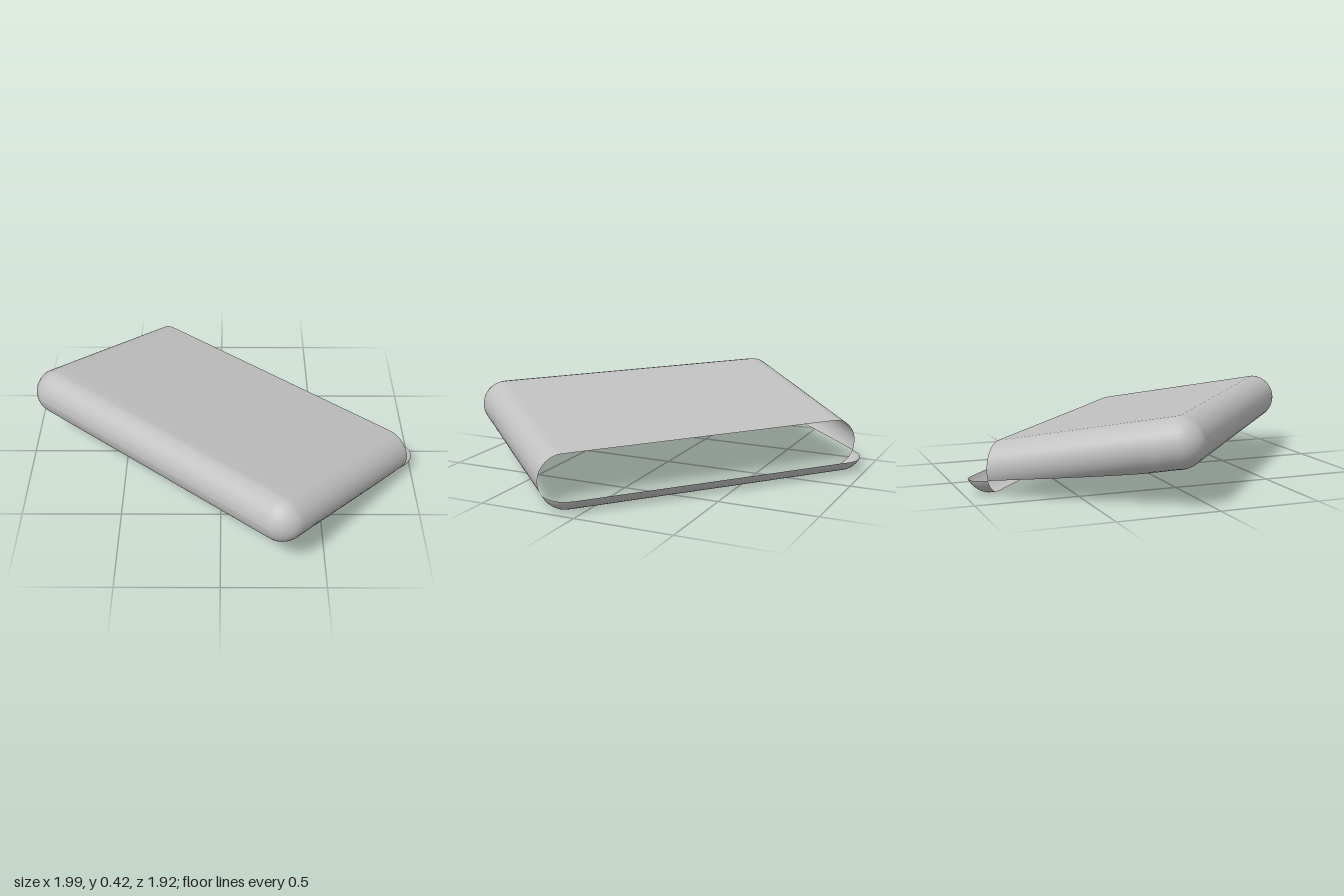
import * as THREE from 'three';

const R = 0.123;        // radius of every rounded edge
const HALF = 0.75;      // half length of the flat part between the rounded ends
const FRONT = 0.445;    // centre line of the front rounding
const SPLIT = -0.455;   // where the upper shell ends and the lower lip begins
const BACK = -0.495;    // centre line of the back rounding
const ARC = 8;          // steps per quarter round

// height of the tilted case's middle plane and of the parting plane
const middle = (z) => 0.13 + 0.185 * (z + 0.455);
const parting = (z) => 0.123 + 0.094 * z;

// angle at which a round section meets the parting plane
const rimAngle = (z, c, rho) =>
  Math.asin(THREE.MathUtils.clamp((parting(z) - c) / Math.max(rho, 1e-4), -1, 1));

// one arch: right rim -> middle (top or bottom) -> left rim
function arch(z, c, rho, from, to) {
  const pts = [];
  for (const side of [1, -1]) {
    for (let k = 0; k <= ARC * 2; k++) {
      const t = side > 0 ? k / (ARC * 2) : 1 - k / (ARC * 2);
      const a = from + (to - from) * t;
      pts.push([side * (HALF + rho * Math.cos(a)), c + rho * Math.sin(a), z]);
    }
  }
  return pts;
}

// skin between successive sections; sections from closeFrom on are closed rings
function loft(sections, closeFrom = Infinity) {
  const n = sections[0].length;
  const index = [];
  for (let i = 0; i < sections.length - 1; i++) {
    const count = i >= closeFrom ? n : n - 1;
    for (let j = 0; j < count; j++) {
      const a = i * n + j, b = i * n + ((j + 1) % n);
      index.push(a, b, a + n, b, b + n, a + n);
    }
  }
  const geo = new THREE.BufferGeometry();
  geo.setAttribute('position', new THREE.Float32BufferAttribute(sections.flat(2), 3));
  geo.setIndex(index);
  geo.computeVertexNormals();
  return geo;
}

export function createModel() {
  const model = new THREE.Group();
  model.name = 'splitCase';
  const grey = new THREE.MeshStandardMaterial({ color: 0xc0c0c0, side: THREE.DoubleSide });
  grey.name = 'plain grey';
  const top = Math.PI / 2;

  // upper shell: open below and behind, rounded under at the front
  const upper = [];
  const steps = 12;
  for (let i = 0; i <= steps; i++) {
    const z = THREE.MathUtils.lerp(SPLIT, FRONT, i / steps), c = middle(z);
    upper.push(arch(z, c, R, i === steps ? -top : rimAngle(z, c, R), top));
  }
  for (let i = 1; i <= ARC; i++) {
    const f = (i / ARC) * top;
    upper.push(arch(FRONT + R * Math.sin(f), middle(FRONT), R * Math.cos(f), -top, top));
  }
  const shell = new THREE.Mesh(loft(upper, steps), grey);
  shell.name = 'upperShell';

  // lower lip: the curved strip left at the bottom of the back edge
  const lower = [];
  const lipArch = (z, c, rho) => lower.push(arch(z, c, rho, rimAngle(z, c, rho), -top));
  lipArch(SPLIT, middle(SPLIT), R);
  for (let i = 0; i <= ARC; i++) {
    const f = (i / ARC) * 1.098;
    lipArch(BACK - R * Math.sin(f), middle(BACK), R * Math.cos(f));
  }
  const lip = new THREE.Mesh(loft(lower), grey);
  lip.name = 'lowerLip';

  const turned = new THREE.Group();
  turned.name = 'caseParts';
  turned.add(shell, lip);
  turned.rotation.y = -0.7;
  model.add(turned);
  return model;
}
